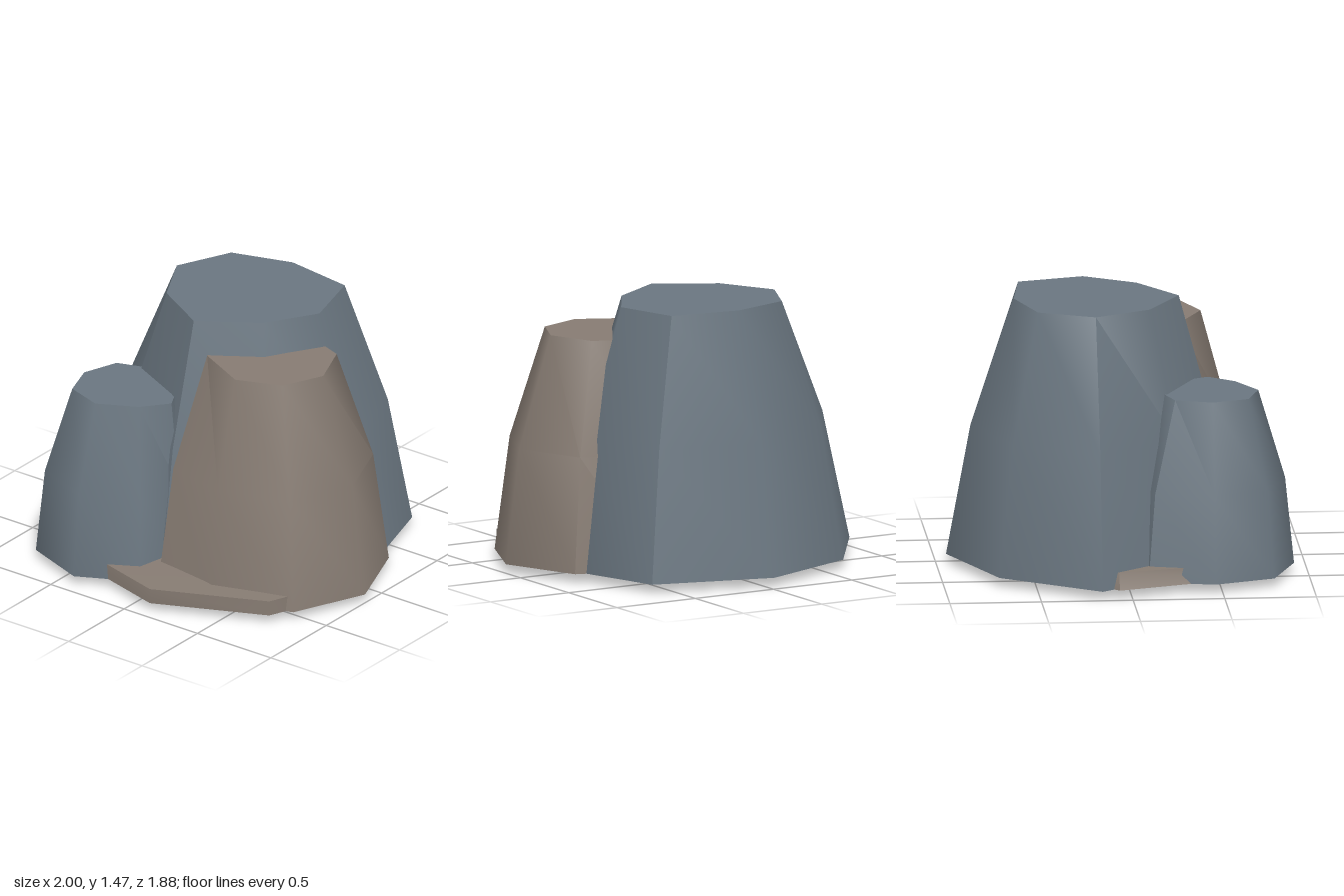
import * as THREE from 'three';
import { toCreasedNormals } from 'three/addons/utils/BufferGeometryUtils.js';

const slate = new THREE.MeshStandardMaterial({ color: 0x6a7680 });
slate.name = 'slate blue stone';
const brown = new THREE.MeshStandardMaterial({ color: 0x867b72 });
brown.name = 'warm brown stone';

// Skins stacked [x, z] outlines (listed back, right, front, left) and closes both ends with fans.
function loft(name, material, rings, heights, lowCentre, highCentre) {
  const pos = [];
  const at = (k, i) => {
    const [x, z] = rings[k][i % rings[k].length];
    return [x, heights[k], z];
  };
  const tri = (a, b, c) => pos.push(...a, ...b, ...c);
  const last = rings.length - 1;
  for (let i = 0; i < rings[0].length; i++) {
    for (let k = 0; k < last; k++) {
      tri(at(k, i), at(k + 1, i), at(k + 1, i + 1));
      tri(at(k, i), at(k + 1, i + 1), at(k, i + 1));
    }
    tri(lowCentre, at(0, i), at(0, i + 1));
    tri(highCentre, at(last, i + 1), at(last, i));
  }
  const geo = new THREE.BufferGeometry();
  geo.setAttribute('position', new THREE.Float32BufferAttribute(pos, 3));
  const mesh = new THREE.Mesh(toCreasedNormals(geo, 0.9), material);
  mesh.name = name;
  return mesh;
}

// A rock that tapers gently to a shoulder, then faster to a flat top.
function rock(name, material, base, top, shoulder, height, bulge, centre) {
  const mid = base.map(([x, z], i) => [
    x + (top[i][0] - x) * bulge,
    z + (top[i][1] - z) * bulge,
  ]);
  const [cx, cz] = centre;
  return loft(name, material, [base, mid, top], [0.05, shoulder, height],
    [cx, 0.05, cz], [cx, height, cz]);
}

export function createModel() {
  const model = new THREE.Group();
  model.name = 'rockCluster';

  // Tallest rock at the back
  model.add(rock('tallRock', slate,
    [[-0.04, -0.945], [0.63, -0.765], [0.81, -0.17], [0.52, 0.34],
      [-0.035, 0.62], [-0.61, 0.36], [-1, -0.165], [-0.63, -0.7]],
    [[-0.04, -0.575], [0.355, -0.52], [0.455, -0.16], [0.28, 0.12],
      [-0.035, 0.325], [-0.36, 0.14], [-0.52, -0.165], [-0.38, -0.47]],
    0.77, 1.47, 0.36, [-0.03, -0.16]));

  // Middle rock at the front on the model's left
  model.add(rock('middleRock', brown,
    [[0.38, -0.42], [0.83, -0.29], [1, 0.15], [0.82, 0.56],
      [0.37, 0.71], [-0.02, 0.66], [-0.2, 0.15], [-0.05, -0.25]],
    [[0.36, -0.2], [0.61, -0.11], [0.715, 0.15], [0.61, 0.38],
      [0.36, 0.475], [0.06, 0.33], [0.02, 0.14], [0.1, -0.1]],
    0.68, 1.29, 0.3, [0.36, 0.14]));

  // Smallest rock at the front on the model's right
  model.add(rock('smallRock', slate,
    [[-0.4, 0], [-0.08, 0.15], [0, 0.48], [-0.07, 0.76],
      [-0.4, 0.925], [-0.76, 0.79], [-0.88, 0.46], [-0.8, 0.1]],
    [[-0.4, 0.19], [-0.17, 0.28], [-0.07, 0.48], [-0.185, 0.62],
      [-0.4, 0.73], [-0.61, 0.66], [-0.68, 0.46], [-0.61, 0.26]],
    0.53, 1.02, 0.25, [-0.4, 0.46]));

  // Thin slab under the rocks, with a shallow pointed underside
  const slab = [[0.1, -0.49], [0.72, -0.28], [0.95, 0.15], [0.74, 0.67],
    [0.13, 0.94], [-0.73, 0.7], [-0.98, -0.07], [-0.48, -0.55]];
  const slabTop = slab.map(([x, z]) => (x < -0.9 ? [-0.92, -0.07] : [x, z]));
  model.add(loft('baseSlab', brown, [slab, slabTop], [0.05, 0.135],
    [0, 0, 0.2], [0, 0.155, 0.2]));

  return model;
}
